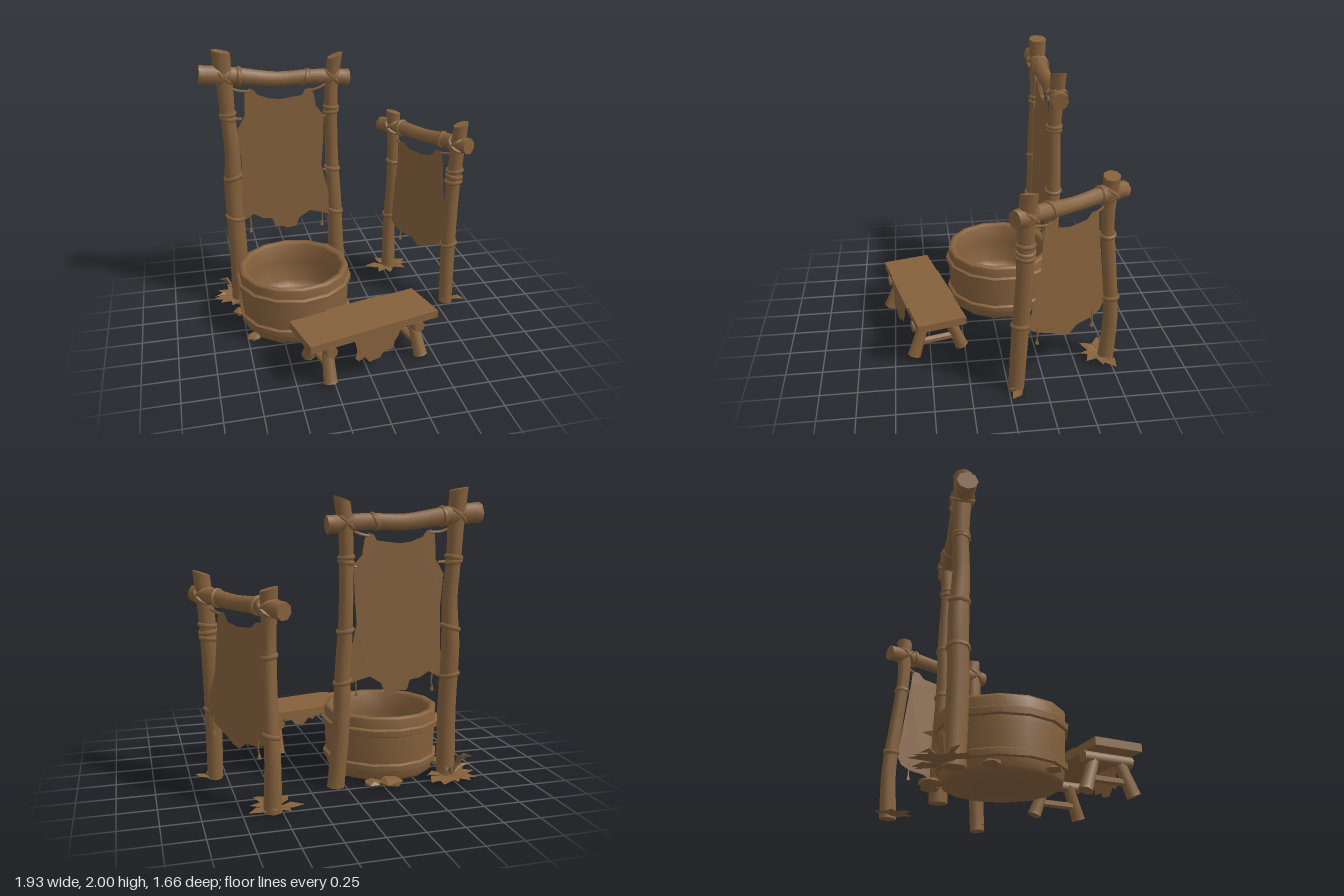
import * as THREE from 'three';
import { toCreasedNormals } from 'three/addons/utils/BufferGeometryUtils.js';

const V = (x, y, z) => new THREE.Vector3(x, y, z);
const UP = V(0, 1, 0);

export function createModel() {
  const model = new THREE.Group();
  const brown = new THREE.MeshStandardMaterial({ color: 0x85613c, side: THREE.DoubleSide });
  brown.name = 'brown wood and hide';

  const add = (parent, name, geo) => {
    const mesh = new THREE.Mesh(geo, brown);
    mesh.name = name;
    parent.add(mesh);
    return mesh;
  };
  const group = name => {
    const g = new THREE.Group();
    g.name = name;
    model.add(g);
    return g;
  };

  // Crooked log: a cylinder bent along a curve, with radii given along its length
  function log(parent, name, pts, radii, sides = 8, slant = 0) {
    const curve = new THREE.CatmullRomCurve3(pts.map(p => V(...p)));
    const dir = V(...pts.at(-1)).sub(V(...pts[0])).normalize();
    const q = new THREE.Quaternion().setFromUnitVectors(UP, dir);
    const radiusAt = t => {
      const f = t * (radii.length - 1), i = Math.min(Math.floor(f), radii.length - 2);
      return THREE.MathUtils.lerp(radii[i], radii[i + 1], f - i);
    };
    const geo = new THREE.CylinderGeometry(1, 1, 1, sides, 18);
    const pos = geo.attributes.position;
    for (let i = 0; i < pos.count; i++) {
      const t = pos.getY(i) + 0.5, r = radiusAt(t);
      const tip = t > 0.99 ? slant * pos.getX(i) : 0;
      const v = V(pos.getX(i) * r, tip, pos.getZ(i) * r).applyQuaternion(q).add(curve.getPoint(t));
      pos.setXYZ(i, v.x, v.y, v.z);
    }
    add(parent, name, toCreasedNormals(geo, 0.9));
    return { curve, q, radiusAt };
  }

  // Flattened rope band round a log at parameter t
  function tie(parent, l, t, tilt) {
    const m = add(parent, 'ropeTie', new THREE.TorusGeometry(l.radiusAt(t) + 0.002, 0.011, 5, 12));
    m.geometry.rotateX(Math.PI / 2).scale(1, 1.5, 1).rotateZ(tilt);
    m.position.copy(l.curve.getPoint(t));
    m.quaternion.copy(l.q);
  }

  // Diagonal lashing where a post meets a beam
  function lashing(parent, p, yaw, r) {
    for (const s of [-1, 1]) {
      const m = add(parent, 'crossLashing', new THREE.TorusGeometry(r, 0.012, 5, 12));
      m.rotation.set(0, yaw, s * 0.75, 'YXZ');
      m.geometry.rotateX(Math.PI / 2);
      m.position.set(...p);
    }
  }

  function cord(parent, name, pts, r) {
    const c = new THREE.CatmullRomCurve3(pts.map(p => V(...p)));
    add(parent, name, new THREE.TubeGeometry(c, 6, r, 5));
  }

  // Hanging thong with a small bead at its end
  function tassel(parent, x, y, z) {
    cord(parent, 'thong', [[x, y + 0.1, z], [x + 0.006, y + 0.05, z], [x, y, z]], 0.006);
    add(parent, 'bead', new THREE.ConeGeometry(0.015, 0.05, 5)).position.set(x, y, z);
  }

  function outline(pts) {
    const shape = new THREE.Shape();
    shape.moveTo(...pts[0]);
    pts.slice(1).forEach(p => shape.lineTo(...p));
    return new THREE.ShapeGeometry(shape);
  }

  // Large frame
  const big = group('largeFrame');
  const L = log(big, 'leftPost', [[-0.74, 0, -0.43], [-0.74, 0.5, -0.42], [-0.75, 0.95, -0.43], [-0.74, 1.25, -0.42],
    [-0.755, 1.5, -0.43], [-0.765, 1.75, -0.43], [-0.78, 1.985, -0.43]], [0.07, 0.067, 0.066, 0.056, 0.052, 0.058, 0.066], 8, -0.015);
  const R = log(big, 'rightPost', [[0.065, 0, -0.43], [0.03, 0.4, -0.43], [0.015, 0.8, -0.42], [0.0, 1.15, -0.43],
    [-0.005, 1.5, -0.42], [0.005, 1.75, -0.43], [0.03, 1.92, -0.43]], [0.062, 0.06, 0.056, 0.05, 0.048, 0.05, 0.057], 8, 0.02);
  const B = log(big, 'topBeam', [[-0.94, 1.83, -0.42], [-0.7, 1.81, -0.43], [-0.4, 1.77, -0.43], [-0.15, 1.775, -0.43], [0.13, 1.755, -0.43]],
    [0.07, 0.062, 0.054, 0.053, 0.06], 8);
  [[0.25, -0.2], [0.39, 0.25], [0.67, -0.2], [0.69, 0.12]].forEach(([t, a]) => tie(big, L, t, a));
  [[0.3, -0.25], [0.46, -0.2], [0.675, 0.15], [0.695, -0.1]].forEach(([t, a]) => tie(big, R, t, a));
  [[0.28, 0], [0.71, -0.3]].forEach(([t, a]) => tie(big, B, t, a));
  lashing(big, [-0.77, 1.81, -0.43], 0, 0.074);
  lashing(big, [0.005, 1.77, -0.43], 0, 0.066);
  add(big, 'largeHide', outline([[-0.63, 1.69], [-0.6, 1.72], [-0.57, 1.71], [-0.54, 1.67], [-0.46, 1.64], [-0.38, 1.63], [-0.22, 1.65],
    [-0.2, 1.69], [-0.16, 1.7], [-0.135, 1.66], [-0.12, 1.56], [-0.06, 1.49], [-0.07, 1.3], [-0.085, 1.1], [-0.05, 0.95], [-0.01, 0.8], [0, 0.68],
    [-0.07, 0.71], [-0.18, 0.74], [-0.26, 0.69], [-0.29, 0.62], [-0.36, 0.61], [-0.39, 0.63], [-0.45, 0.63], [-0.47, 0.7], [-0.54, 0.71],
    [-0.61, 0.75], [-0.71, 0.69], [-0.73, 0.72], [-0.69, 0.9], [-0.68, 1.2], [-0.7, 1.42], [-0.64, 1.52]])).position.z = -0.4;
  for (const [x, y, px, py] of [[-0.6, 1.7, -0.74, 1.73], [-0.66, 1.5, -0.76, 1.53], [-0.68, 1.06, -0.74, 1.08], [-0.7, 0.72, -0.75, 0.75],
    [-0.16, 1.68, -0.01, 1.74], [-0.08, 1.48, 0, 1.52], [-0.07, 1.07, 0, 1.05], [-0.01, 0.72, 0.04, 0.7]])
    cord(big, 'hideCord', [[x, y, -0.4], [(x + px) / 2, (y + py) / 2 - 0.01, -0.405], [px, py, -0.42]], 0.01);
  tassel(big, -0.64, 0.635, -0.39);
  tassel(big, -0.09, 0.635, -0.39);

  // Small frame, set at an angle
  const small = group('smallFrame');
  const yaw = -Math.PI / 2 + 0.51;
  const P = log(small, 'backPost', [[0.56, 0, -0.73], [0.56, 0.35, -0.745], [0.565, 0.75, -0.71], [0.56, 1.1, -0.68], [0.56, 1.39, -0.69]],
    [0.06, 0.052, 0.048, 0.045, 0.058], 8, -0.015);
  const F = log(small, 'frontPost', [[0.83, 0, -0.05], [0.835, 0.45, -0.07], [0.85, 0.85, -0.09], [0.865, 1.15, -0.09], [0.895, 1.44, -0.1]],
    [0.054, 0.058, 0.056, 0.056, 0.056], 8, 0.02);
  const S = log(small, 'topBeam', [[0.49, 1.265, -0.80], [0.58, 1.28, -0.65], [0.72, 1.275, -0.4], [0.83, 1.29, -0.2], [0.93, 1.295, -0.01]],
    [0.058, 0.055, 0.05, 0.055, 0.06], 8);
  [[0.34, 0.2], [0.66, -0.2]].forEach(([t, a]) => tie(small, P, t, a));
  [[0.28, 0.25], [0.625, 0.1], [0.66, -0.1], [0.7, 0.15]].forEach(([t, a]) => tie(small, F, t, a));
  [[0.3, 0.1], [0.7, -0.2]].forEach(([t, a]) => tie(small, S, t, a));
  lashing(small, [0.56, 1.275, -0.68], yaw, 0.07);
  lashing(small, [0.875, 1.29, -0.1], yaw, 0.072);
  // Hide drawn in (z, y), then slid sideways under the slanted beam, swinging out a little lower down
  const hideX = (z, y) => 0.87 + (z + 0.1) * 0.55 + 0.025 * (1.2 - y);
  const hide2 = outline([[-0.21, 1.1], [-0.22, 1.19], [-0.27, 1.2], [-0.31, 1.14], [-0.4, 1.12], [-0.52, 1.13], [-0.56, 1.17], [-0.61, 1.17],
    [-0.62, 1.05], [-0.65, 0.8], [-0.69, 0.47], [-0.66, 0.41], [-0.59, 0.38], [-0.48, 0.37], [-0.42, 0.32], [-0.36, 0.34], [-0.3, 0.38],
    [-0.22, 0.42], [-0.15, 0.46], [-0.11, 0.5], [-0.14, 0.62], [-0.19, 0.8]]);
  const hp = hide2.attributes.position;
  for (let i = 0; i < hp.count; i++) hp.setXYZ(i, hideX(hp.getX(i), hp.getY(i)), hp.getY(i), hp.getX(i));
  hide2.computeVertexNormals();
  add(small, 'smallHide', hide2);
  for (const [z, y, q] of [[-0.24, 1.18, [0.865, 1.21, -0.1]], [-0.13, 0.52, [0.84, 0.5, -0.08]],
    [-0.6, 1.16, [0.56, 1.2, -0.68]], [-0.68, 0.48, [0.56, 0.5, -0.73]]])
    cord(small, 'hideCord', [[hideX(z, y), y, z], q], 0.01);
  for (const [z, y] of [[-0.18, 0.38], [-0.6, 0.33]]) tassel(small, hideX(z, y), y, z);

  // Round tub with a smooth hollow and two loose hoops
  const tub = group('tub');
  tub.position.set(-0.368, 0, -0.09);
  const lathe = (pts, crease) => toCreasedNormals(new THREE.LatheGeometry(pts.map(p => new THREE.Vector2(...p)), 14), crease);
  add(tub, 'tubBody', lathe([[0, 0.005], [0.37, 0.008], [0.385, 0.03], [0.395, 0.12], [0.402, 0.3], [0.405, 0.445], [0.4, 0.46],
    [0.365, 0.46], [0.352, 0.44], [0.348, 0.3], [0.342, 0.14], [0.32, 0.1], [0, 0.09]], 1.8));
  for (const [name, y, r] of [['lowerHoop', 0.105, 0.4], ['upperHoop', 0.355, 0.41]])
    add(tub, name, lathe([[r - 0.005, y - 0.028], [r + 0.012, y - 0.02], [r + 0.014, y + 0.018], [r - 0.004, y + 0.028]], 0.6));

  // Bench
  const bench = group('bench');
  bench.position.set(0.015, 0, 0.53);
  bench.rotation.y = 0.245;
  add(bench, 'benchSeat', new THREE.BoxGeometry(0.97, 0.055, 0.345)).position.y = 0.302;
  for (const sx of [-1, 1]) {
    const x = sx * 0.335;
    log(bench, 'legTopBar', [[x, 0.243, -0.18], [x, 0.243, 0.18]], [0.042, 0.042], 7);
    log(bench, 'legStretcher', [[x, 0.105, -0.14], [x, 0.105, 0.14]], [0.026, 0.026], 6);
    for (const sz of [-1, 1])
      log(bench, 'benchLeg', [[x + sx * 0.015, 0.015, sz * 0.178], [x - sx * 0.005, 0.25, sz * 0.09]], [0.05, 0.038], 7);
  }
  // Hide laid over the seat and its hanging flap
  const cloth = outline([[-0.36, -0.12], [-0.27, -0.09], [-0.2, -0.173], [0.2, -0.173], [0.29, -0.13], [0.25, -0.02], [0.3, 0.05],
    [0.25, 0.14], [0.24, 0.185], [-0.22, 0.185], [-0.3, 0.12], [-0.33, 0.15], [-0.38, 0.08], [-0.33, 0]]);
  cloth.rotateX(Math.PI / 2);
  add(bench, 'seatHide', cloth).position.y = 0.341;
  add(bench, 'hideFlap', outline([[-0.22, 0.341], [-0.17, 0.28], [-0.155, 0.2], [-0.17, 0.15], [-0.14, 0.12], [-0.1, 0.14], [-0.06, 0.09],
    [0.02, 0.1], [0.05, 0.14], [0.12, 0.14], [0.135, 0.2], [0.16, 0.23], [0.18, 0.29], [0.24, 0.341]])).position.z = 0.185;

  // Leaf: a folded diamond from its root to the tip at (tx, tz), rising in the middle
  const plants = group('leaves');
  function leaf([x, z], [tx, tz], rise, width) {
    const len = Math.hypot(tx - x, tz - z), w = len * width;
    const geo = new THREE.BufferGeometry();
    geo.setAttribute('position', new THREE.Float32BufferAttribute(
      [0, 0, 0, len * 0.55, rise, w, len * 0.55, rise * 0.8, 0, len * 0.55, rise, -w, len, rise * 0.9, 0], 3));
    geo.setIndex([0, 1, 2, 0, 2, 3, 1, 4, 2, 2, 4, 3]);
    const flat = geo.toNonIndexed();
    flat.computeVertexNormals();
    const m = add(plants, 'leaf', flat);
    m.position.set(x, 0.01, z);
    m.rotation.y = Math.atan2(z - tz, tx - x);
  }
  // Each clump: root, then leaf tips
  const clumps = [
    [[-0.74, -0.47], [[-0.91, -0.59], [-0.83, -0.66], [-0.72, -0.69], [-0.63, -0.66], [-0.55, -0.63], [-0.56, -0.52], [-0.95, -0.46], [-0.91, -0.37], [-0.82, -0.29]]],
    [[0.54, -0.7], [[0.35, -0.72], [0.46, -0.83], [0.56, -0.83], [0.72, -0.77], [0.7, -0.68], [0.66, -0.57], [0.53, -0.56], [0.43, -0.57]]],
    [[0.86, -0.09], [[0.97, -0.01], [0.88, 0], [0.78, 0]]],
  ];
  for (const [root, tips] of clumps)
    tips.forEach((tip, i) => leaf(root, tip, 0.015 + 0.012 * (i % 3), 0.25));
  // Upright blades
  for (const [tip, rise] of [[[-0.9, -0.53], 0.16], [[-0.8, -0.62], 0.18], [[-0.95, -0.42], 0.06], [[-0.66, -0.62], 0.1]])
    leaf([-0.76, -0.48], tip, rise, 0.1);

  // Flat stones round the tub
  for (const [x, z, r] of [[-0.3, -0.52, 0.085], [-0.17, -0.51, 0.065], [-0.76, -0.22, 0.065], [-0.71, 0.15, 0.055]]) {
    const s = add(plants, 'stone', new THREE.IcosahedronGeometry(r, 0));
    s.scale.y = 0.35;
    s.position.set(x, 0.03, z);
    s.rotation.y = x * 9;
  }
  return model;
}
